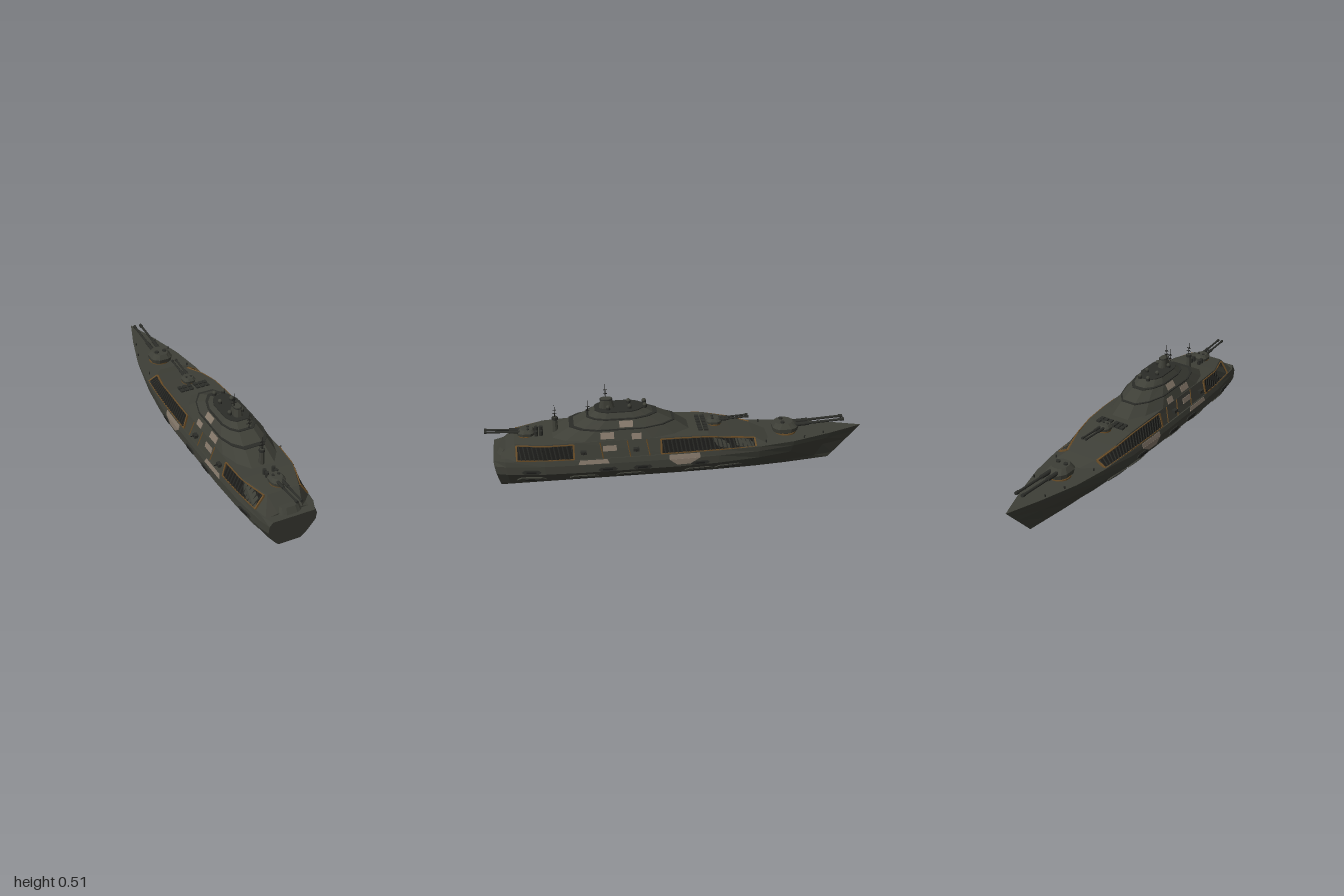
import * as THREE from 'three';

const mat = (name, color, side = THREE.FrontSide) => {
  const m = new THREE.MeshStandardMaterial({ color, side, flatShading: true });
  m.name = name;
  return m;
};
const M = {
  hull: mat('olive grey', 0x3e3f37),
  dark: mat('dark grey', 0x2b2c28),
  black: mat('recess black', 0x1b1b19),
  tan: mat('camouflage tan', 0x85786a),
  brown: mat('bronze trim', 0x6b4e28),
};
const V = (x, y, z) => new THREE.Vector3(x, y, z);

function add(parent, name, geo, material, x = 0, y = 0, z = 0) {
  const m = new THREE.Mesh(geo, material);
  m.name = name;
  m.position.set(x, y, z);
  parent.add(m);
  return m;
}

// Skin over rings of points, counter-clockwise seen from the end they advance to
function loft(rings) {
  const pos = [], n = rings[0].length;
  const tri = (...p) => p.forEach((v) => pos.push(v.x, v.y, v.z));
  for (let i = 0; i + 1 < rings.length; i++) {
    for (let j = 0; j < n; j++) {
      const k = (j + 1) % n, a = rings[i], b = rings[i + 1];
      tri(a[j], a[k], b[k]);
      tri(a[j], b[k], b[j]);
    }
  }
  const s = rings[0], e = rings[rings.length - 1];
  for (let j = 1; j + 1 < n; j++) {
    tri(s[0], s[j + 1], s[j]);
    tri(e[0], e[j], e[j + 1]);
  }
  const g = new THREE.BufferGeometry();
  g.setAttribute('position', new THREE.Float32BufferAttribute(pos, 3));
  g.computeVertexNormals();
  return g;
}
const mirrorRing = (half) => [...half, ...half.slice().reverse().map((p) => V(-p.x, p.y, p.z))];

// Chamfered deckhouse outline at one height
function outline(y, w, z0, z1, c0, c1) {
  const half = [[w * 0.45, z1], [w * 0.8, z1 - c1 * 0.4], [w, z1 - c1], [w, z0 + c0], [w * 0.75, z0 + c0 * 0.4], [w * 0.35, z0]];
  return mirrorRing(half.map(([x, z]) => V(x, y, z)));
}

// Square beam between two points
function beam(parent, name, a, b, t, material) {
  const m = add(parent, name, new THREE.BoxGeometry(t, t, a.distanceTo(b)), material);
  m.position.copy(a).lerp(b, 0.5);
  m.lookAt(b);
  return m;
}
const rod = (r, h, r2 = r, n = 10) => new THREE.CylinderGeometry(r2, r, h, n);

// Point on the +x side of a set of stations, between profile points k and k + 1
const surface = (rings, k) => (z, t) => {
  let i = 0;
  while (i < rings.length - 2 && rings[i + 1][k].z < z) i++;
  const a = rings[i], b = rings[i + 1];
  const at = (j) => a[j].clone().lerp(b[j], (z - a[j].z) / (b[j].z - a[j].z));
  return at(k).lerp(at(k + 1), t);
};

// Thin plate lying on a surface; corners are [z, t]
function plate(parent, name, fn, corners, thick, material, lift = 0.0015) {
  const p = corners.map(([z, t]) => fn(z, t));
  const n = p[1].clone().sub(p[0]).cross(p[p.length - 1].clone().sub(p[0])).normalize();
  const shift = (d) => p.map((v) => v.clone().addScaledVector(n, d));
  add(parent, name, loft([shift(-0.002), shift(lift + thick)]), material);
}
const rect = (z0, z1, t0, t1, s = 0) => [[z1, t0], [z0, t0], [z0 + s, t1], [z1 - s, t1]];
const hex = (z, l, t0, t1) => {
  const m = (t0 + t1) / 2;
  return [[z + l, m], [z + l * 0.7, t0], [z - l * 0.7, t0], [z - l, m], [z - l * 0.7, t1], [z + l * 0.7, t1]];
};

// Gun house with two barrels, pointing to -z
function turret(parent, name, x, y, z, s, len) {
  const g = new THREE.Group();
  g.name = name;
  g.position.set(x, y, z);
  parent.add(g);
  add(g, 'turretRing', rod(0.056 * s, 0.008, 0.056 * s, 20), M.brown, 0, 0.003, 0);
  add(g, 'barbette', rod(0.05 * s, 0.02 * s, 0.05 * s, 20), M.dark, 0, 0.008 * s, 0);
  add(g, 'gunHouse', loft([
    outline(0.012 * s, 0.055 * s, -0.06 * s, 0.065 * s, 0.04 * s, 0.03 * s),
    outline(0.035 * s, 0.058 * s, -0.065 * s, 0.07 * s, 0.045 * s, 0.03 * s),
    outline(0.058 * s, 0.04 * s, -0.035 * s, 0.055 * s, 0.03 * s, 0.03 * s)]), M.hull);
  for (const sx of [-1, 1]) {
    add(g, 'hatch', rod(0.011 * s, 0.01 * s), M.dark, sx * 0.022 * s, 0.06 * s, 0.02 * s);
    const bx = sx * 0.018 * s, start = V(bx, 0.04 * s, -0.04 * s), end = V(bx, 0.04 * s + len * 0.05, -len);
    const part = (nm, f0, f1, r) => {
      const a = start.clone().lerp(end, f0), b = start.clone().lerp(end, f1);
      const m = add(g, nm, rod(r, a.distanceTo(b)), M.dark);
      m.position.copy(a).lerp(b, 0.5);
      m.quaternion.setFromUnitVectors(V(0, 1, 0), b.sub(a).normalize());
    };
    part('barrel', 0, 1, 0.0065 * Math.sqrt(s));
    part('barrelSleeve', 0, 0.3, 0.0105 * Math.sqrt(s));
    part('muzzle', 0.93, 1, 0.009 * Math.sqrt(s));
  }
  return g;
}

function mast(parent, x, y, z, h) {
  add(parent, 'antenna', rod(0.0022, h, 0.001, 6), M.black, x, y + h / 2, z);
  [0.35, 0.6].forEach((f, i) => {
    add(parent, 'antennaYard', new THREE.BoxGeometry(0.028 - i * 0.006, 0.0025, 0.0025), M.black, x, y + h * f, z);
    add(parent, 'antennaYard', new THREE.BoxGeometry(0.0025, 0.0025, 0.02), M.black, x, y + h * f, z);
  });
}

export function createModel() {
  const ship = new THREE.Group();
  ship.name = 'warship';

  // Hull stations: top z, keel z, half widths from keel to deck, deck height
  const hullRings = [
    [-1, -0.83, 0.0005, 0.0005, 0.0005, 0.0005, 0.001, 0.185],
    [-0.82, -0.74, 0.012, 0.02, 0.044, 0.056, 0.063, 0.182],
    [-0.61, -0.58, 0.032, 0.052, 0.1, 0.116, 0.123, 0.178],
    [-0.42, -0.42, 0.046, 0.076, 0.138, 0.151, 0.152, 0.176],
    [-0.2, -0.2, 0.056, 0.095, 0.165, 0.168, 0.163, 0.175],
    [0, 0, 0.06, 0.1, 0.175, 0.175, 0.168, 0.175],
    [0.5, 0.5, 0.06, 0.1, 0.175, 0.175, 0.168, 0.175],
    [0.7, 0.7, 0.06, 0.1, 0.168, 0.168, 0.16, 0.175],
    [0.9, 0.88, 0.06, 0.095, 0.143, 0.143, 0.138, 0.175],
    [0.96, 0.93, 0.06, 0.083, 0.127, 0.127, 0.112, 0.173],
  ].map(([zt, zb, a, b, c, d, e, yd]) => mirrorRing(
    [[a, 0], [b, 0.025], [c, 0.103], [d, 0.148], [e, yd]].map(([x, y]) => V(x, y, zb + (zt - zb) * y / yd))));
  add(ship, 'hull', loft(hullRings), M.hull);

  // Sloping main deckhouse: z, base half width, top half width, top height
  const houseRings = [
    [-0.48, 0.125, 0.04, 0.178], [-0.4, 0.148, 0.085, 0.2], [-0.28, 0.155, 0.115, 0.228], [-0.15, 0.161, 0.13, 0.253],
    [0, 0.164, 0.137, 0.26], [0.55, 0.164, 0.142, 0.262], [0.7, 0.157, 0.135, 0.258], [0.85, 0.143, 0.085, 0.249], [0.92, 0.13, 0.065, 0.182],
  ].map(([z, b, t, y]) => mirrorRing([V(b, 0.168, z), V(t, y, z)]));
  add(ship, 'mainDeckhouse', loft(houseRings), M.hull);
  add(ship, 'sternLocker', loft([outline(0.17, 0.062, 0.85, 0.945, 0.02, 0.02), outline(0.204, 0.052, 0.85, 0.925, 0.02, 0.02)]), M.hull);

  // Upper tiers with overhanging rims
  const tiers = [
    [0.255, 0.14, -0.06, 0.66, 0.312, 0.115, 0.02, 0.56],
    [0.314, 0.112, 0.03, 0.54, 0.355, 0.086, 0.11, 0.47],
    [0.357, 0.08, 0.13, 0.46, 0.386, 0.063, 0.18, 0.425]];
  const tierSides = tiers.map(([y0, w0, a0, b0, y1, w1, a1, b1], i) => {
    const r0 = outline(y0, w0, a0, b0, 0.2 - i * 0.05, 0.16 - i * 0.04);
    const r1 = outline(y1, w1, a1, b1, 0.17 - i * 0.05, 0.13 - i * 0.035);
    add(ship, 'tier' + (i + 1), loft([r0, r1]), M.hull);
    const rim = (y) => outline(y, w1 + 0.003, a1 - 0.004, b1 + 0.004, 0.17 - i * 0.05, 0.13 - i * 0.035);
    add(ship, 'tierRim' + (i + 1), loft([rim(y1 - 0.004), rim(y1 + 0.001)]), M.dark);
    return (z, t) => V(w0 + (w1 - w0) * t, y0 + (y1 - y0) * t, z);
  });

  // Everything repeated on both sides
  const side = new THREE.Group();
  side.name = 'leftSideFittings';
  const house = surface(houseRings, 0), lower = surface(hullRings, 1), upper = surface(hullRings, 2), top = surface(hullRings, 3);
  for (const [z0, z1, step] of [[-0.4, 0.1, 0.022], [0.55, 0.84, 0.022]]) {
    // Ribbed galleries with bronze frames
    const n = Math.round((z1 - z0) / step), out = (z, t) => house(z, t).add(V(0.003, 0.002, 0));
    for (let i = 0; i < n; i++) {
      const a = z0 + (z1 - z0) * i / n, b = z0 + (z1 - z0) * (i + 1) / n;
      plate(side, 'galleryRecess', house, rect(a, b, 0.12, 0.86), 0.001, M.black);
      beam(side, 'galleryRib', out(a, 0.12), out(a + 0.012, 0.86), 0.005, M.dark);
      if (i % 3 === 0) {
        const e = z0 + (z1 - z0) * Math.min(i + 3, n) / n;
        for (const t of [0.1, 0.9]) beam(side, 'galleryFrame', out(a, t), out(e, t), 0.005, M.brown);
      }
    }
    for (const z of [z0, z1]) beam(side, 'galleryFrame', out(z, 0.1), out(z, 0.9), 0.009, M.brown);
  }
  plate(side, 'foreTrim', house, rect(-0.4, -0.27, 0.88, 1), 0.003, M.brown);
  for (const z of [0.16, 0.26, 0.4]) beam(side, 'wallTrim', house(z, 0.05), house(z + 0.015, 0.95), 0.005, M.brown);
  // Camouflage patches
  plate(side, 'camouflage', upper, [[0.02, 0.3], [-0.05, 0.3], [-0.1, 1], [0.06, 1]], 0.002, M.tan);
  plate(side, 'camouflage', top, rect(-0.1, 0.06, 0, 0.9), 0.002, M.tan);
  plate(side, 'camouflage', top, rect(0.37, 0.53, 0.1, 0.9, 0.01), 0.002, M.tan);
  plate(side, 'camouflage', house, rect(0.33, 0.4, 0.45, 0.75), 0.002, M.tan);
  plate(side, 'camouflage', tierSides[0], rect(0.34, 0.41, 0.25, 0.8), 0.002, M.tan);
  plate(side, 'camouflage', tierSides[0], rect(0.2, 0.25, 0.1, 0.6), 0.002, M.tan);
  plate(side, 'camouflage', tierSides[1], rect(0.24, 0.31, 0.1, 0.8), 0.002, M.tan);
  // Armour pads and ports on the hull
  for (const z of [0.77, 0.5, 0.26, -0.1, -0.26]) {
    plate(side, 'armourPad', lower, hex(z, 0.075, 0.2, 0.62), 0.004, M.hull);
    plate(side, 'padInset', lower, rect(z - 0.035, z + 0.035, 0.32, 0.5), 0.006, M.dark);
  }
  for (const z of [0.77, 0.38, 0.2, -0.1]) {
    plate(side, 'sidePort', upper, hex(z, 0.05, 0.05, 0.55), 0.003, M.dark);
    plate(side, 'portSlot', upper, rect(z - 0.025, z + 0.025, 0.2, 0.4), 0.005, M.black);
  }
  // Broadside guns and wall boxes
  for (const z of [0.23, 0.5]) {
    add(side, 'sideGunMount', new THREE.BoxGeometry(0.025, 0.016, 0.03), M.dark, 0.158, 0.214, z);
    const b = add(side, 'sideGunBarrel', rod(0.0025, 0.03), M.black, 0.172, 0.216, z);
    b.rotation.z = Math.PI / 2;
  }
  // Domes, bollards and deck hatches
  for (const [x, z] of [[0.025, 0.17], [0.032, 0.25], [0.034, 0.36]]) {
    add(side, 'sensorBase', rod(0.011, 0.014), M.dark, x, 0.391, z);
    add(side, 'sensorDome', new THREE.SphereGeometry(0.011, 12, 8), M.hull, x, 0.4, z);
  }
  for (const z of [-0.46, -0.67, -0.78]) add(side, 'bollard', rod(0.004, 0.014, 0.004, 8), M.dark, z > -0.5 ? 0.115 : 0.06 + (z + 0.78) * 0.3, 0.186, z);
  for (const x of [0.018, 0.046, 0.072]) for (const z of [-0.145, -0.115]) {
    add(side, 'deckHatch', new THREE.BoxGeometry(0.021, 0.01, 0.022), M.dark, x, 0.258, z);
  }
  for (const z of [0.71, 0.735]) add(side, 'ventilator', rod(0.01, 0.03), M.dark, 0.025, 0.268, z);
  ship.add(side);
  const right = side.clone();
  right.name = 'rightSideFittings';
  right.scale.x = -1;
  ship.add(right);

  // Turrets
  turret(ship, 'bowTurret', 0, 0.178, -0.585, 1.05, 0.315);
  turret(ship, 'foreTurret', 0, 0.251, -0.2, 0.6, 0.18);
  turret(ship, 'sternTurret', 0, 0.25, 0.79, 0.68, 0.21).rotation.y = Math.PI;

  // Funnel, aft tower and masts
  add(ship, 'funnel', loft([outline(0.384, 0.024, 0.325, 0.405, 0.02, 0.02), outline(0.437, 0.018, 0.34, 0.395, 0.016, 0.016)]), M.hull);
  add(ship, 'funnelCap', loft([outline(0.43, 0.021, 0.335, 0.4, 0.017, 0.017), outline(0.434, 0.021, 0.335, 0.4, 0.017, 0.017)]), M.dark);
  add(ship, 'aftTower', rod(0.016, 0.09, 0.011, 8), M.hull, 0, 0.3, 0.635);
  add(ship, 'aftTowerCap', rod(0.016, 0.014, 0.016, 8), M.dark, 0, 0.338, 0.635);
  mast(ship, -0.016, 0.425, 0.37, 0.085);
  mast(ship, 0, 0.34, 0.635, 0.075);
  mast(ship, 0.02, 0.35, 0.465, 0.09);
  return ship;
}
